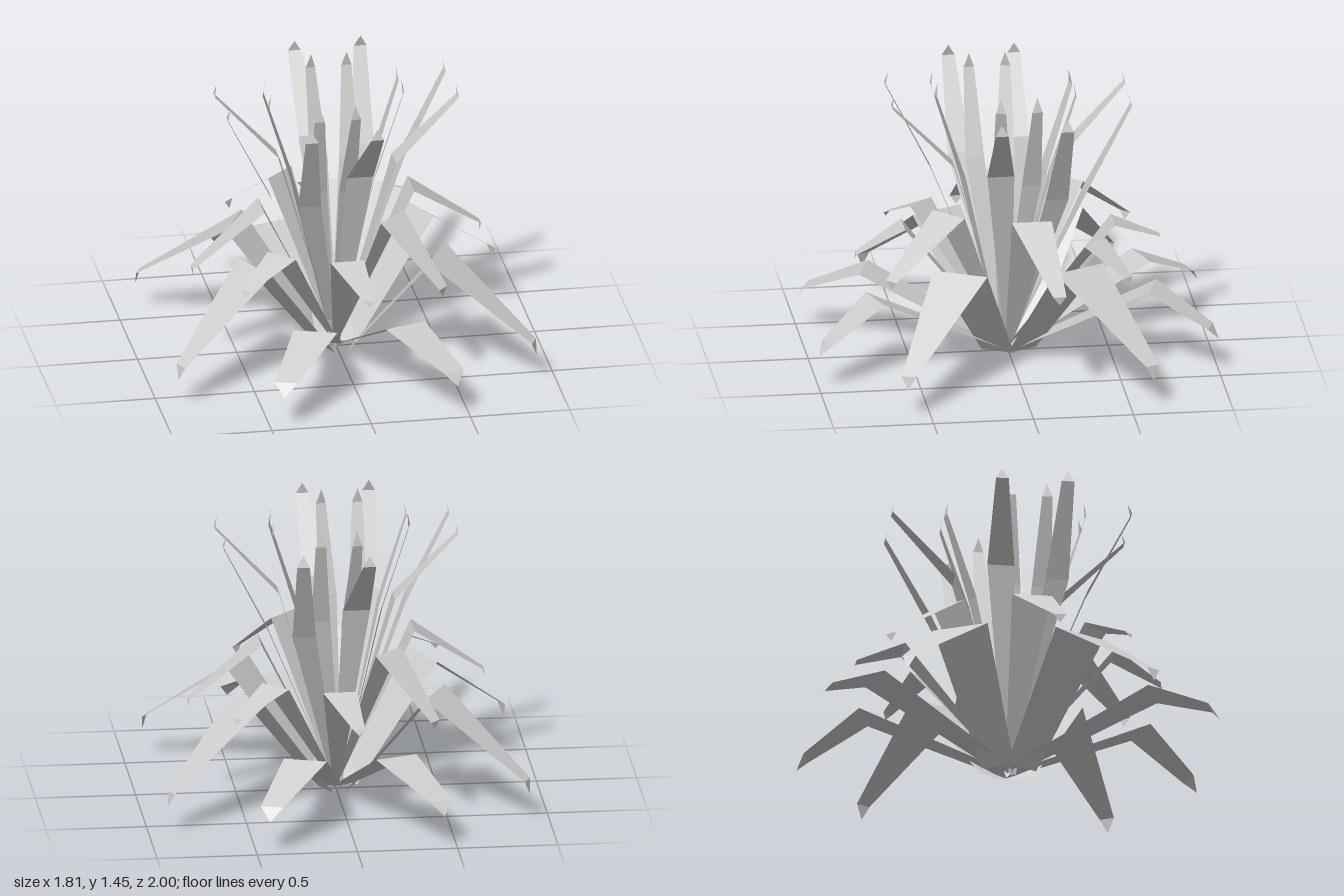
import * as THREE from 'three';

const material = new THREE.MeshStandardMaterial({ color: 0xcccccc, flatShading: true, side: THREE.DoubleSide });

// Symmetries of the rosette: each maps (x, z) to (x, z)
const halfTurn = [(x, z) => [x, z], (x, z) => [-x, -z]];
const mirrored = [...halfTurn, (x, z) => [-x, z], (x, z) => [x, -z]];
const diagonal = [...halfTurn, (x, z) => [z, x], (x, z) => [-z, -x]];

const root = [0, 0.02, 0.015];

// Stations run base, knee, shoulder, tip as [distance outward, height, half width].
// Leaves are [heading in degrees from +z, knee drift, tip drift, base drift], drift being sideways.
const tiers = [
  {
    name: 'lowestLeaf', maps: mirrored,
    stations: [[0.02, 0.02, 0.055], [0.73, 0.385, 0.11], [1.042, 0.235, 0.057], [1.088, 0.17, 0]],
    leaves: [[18.4, -0.004, 0.098, 0.02]],
  },
  {
    name: 'broadLeaf', maps: mirrored,
    stations: [[0.085, 0.02, 0.085], [0.546, 0.585, 0.142], [1.067, 0.213, 0.037], [1.081, 0.14, 0]],
    leaves: [[63.9, -0.064, -0.156, -0.025]],
  },
  {
    name: 'droopingLeaf', maps: halfTurn,
    stations: [root, [0.52, 0.675, 0.085], [0.765, 0.56, 0.03], [0.775, 0.53, 0]],
    leaves: [[0, -0.035, 0.033], [-45, 0.035, -0.01]],
  },
  {
    name: 'middleLeaf', maps: halfTurn,
    stations: [root, [0.39, 0.815, 0.1], [0.755, 0.547, 0.033], [0.75, 0.503, 0]],
    leaves: [[90, 0.07, 0.163], [45, -0.07, -0.15]],
  },
  {
    name: 'upperLeaf', maps: diagonal,
    stations: [root, [0.365, 0.918, 0.058], [0.588, 1.355, 0.032], [0.57, 1.415, 0]],
    leaves: [[0, -0.198, -0.225]],
  },
  {
    name: 'leaningLeaf', maps: diagonal,
    stations: [root, [0.28, 1.02, 0.068], [0.595, 1.35, 0.032], [0.585, 1.405, 0]],
    leaves: [[0, 0.072, 0.105]],
  },
  {
    name: 'innerLeaf', maps: diagonal, shift: [-0.018, 0.022],
    stations: [[0, 0, 0.015], [0.21, 0.935, 0.048], [0.347, 1.37, 0.026], [0.337, 1.445, 0]],
    leaves: [[0, -0.115, -0.128], [14, -0.015, -0.03]],
  },
];

// One folded leaf: three cross edges and a pointed tip
function leafGeometry(stations, [degrees, kneeDrift, tipDrift, baseDrift = 0], map, shift) {
  const heading = THREE.MathUtils.degToRad(degrees);
  const sin = Math.sin(heading), cos = Math.cos(heading);
  const drifts = [baseDrift, kneeDrift, tipDrift, tipDrift];
  const positions = [];
  stations.forEach(([out, y, half], i) => {
    for (const side of half > 0 ? [-1, 1] : [0]) {
      const across = drifts[i] + side * half;
      const [x, z] = map(out * sin + across * cos, out * cos - across * sin);
      positions.push(x + shift[0], y, z + shift[1]);
    }
  });
  const geometry = new THREE.BufferGeometry();
  geometry.setAttribute('position', new THREE.Float32BufferAttribute(positions, 3));
  geometry.setIndex([0, 1, 3, 0, 3, 2, 2, 3, 5, 2, 5, 4, 4, 5, 6]);
  const flat = geometry.toNonIndexed();
  flat.computeVertexNormals();
  return flat;
}

export function createModel() {
  const plant = new THREE.Group();
  plant.name = 'spikyPlant';
  for (const { name, maps, stations, leaves, shift = [0, 0] } of tiers) {
    const ring = new THREE.Group();
    ring.name = name + 'Ring';
    for (const leaf of leaves) {
      for (const map of maps) {
        const mesh = new THREE.Mesh(leafGeometry(stations, leaf, map, shift), material);
        mesh.name = name;
        ring.add(mesh);
      }
    }
    plant.add(ring);
  }
  return plant;
}
